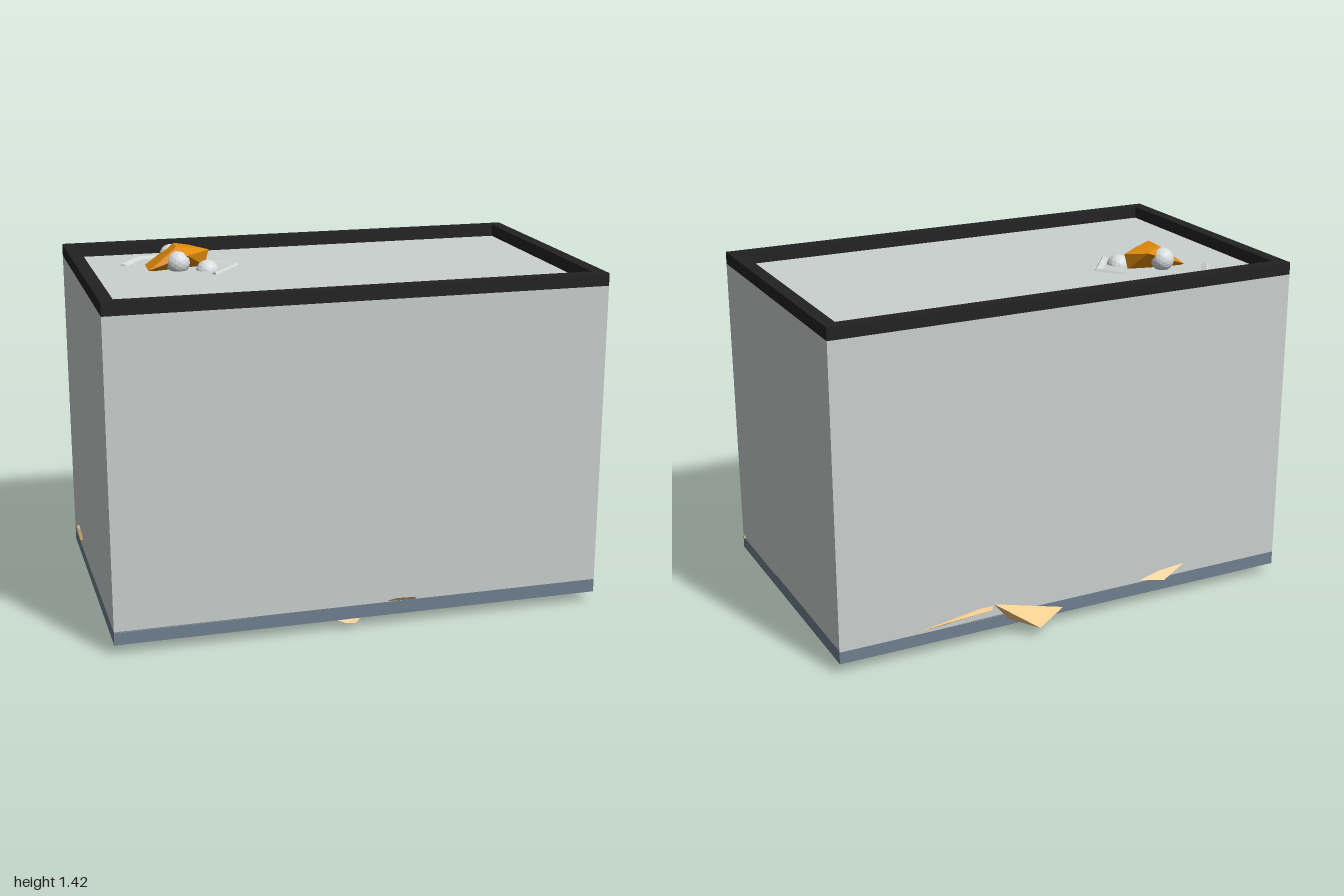
import * as THREE from 'three';
import { ConvexGeometry } from 'three/addons/geometries/ConvexGeometry.js';

const W = 1.98, D = 1.175, ZC = 0.0225;
const mat = (color) => new THREE.MeshStandardMaterial({ color, flatShading: true });
const glass = mat(0xcbd1cf), slate = mat(0x708090), black = mat(0x222222);
const orange = mat(0xe08a0c), sand = mat(0xf4c888), pearl = mat(0xd8dde0);
const foam = mat(0xd3d9d7), green = mat(0x2e6b3a);

export function createModel() {
  const group = new THREE.Group();
  const add = (name, geometry, material, x = 0, y = 0, z = 0) => {
    const mesh = new THREE.Mesh(geometry, material);
    mesh.name = name;
    mesh.position.set(x, y, z);
    group.add(mesh);
    return mesh;
  };
  // Faceted solid around a few corner points
  const shard = (name, material, points) =>
    add(name, new ConvexGeometry(points.map((p) => new THREE.Vector3(...p))), material);

  // Tank and base
  add('tankBody', new THREE.BoxGeometry(W, 1.235, D), glass, 0, 0.7125, ZC);
  add('base', new THREE.BoxGeometry(W, 0.055, D), slate, 0, 0.0725, ZC);

  // Open rim around the recessed top
  const rectangle = (Type, w, d) => {
    const r = new Type();
    r.moveTo(-w / 2, -d / 2).lineTo(w / 2, -d / 2).lineTo(w / 2, d / 2).lineTo(-w / 2, d / 2).closePath();
    return r;
  };
  const outline = rectangle(THREE.Shape, W, D);
  outline.holes.push(rectangle(THREE.Path, W - 0.104, D - 0.104));
  const rim = new THREE.ExtrudeGeometry(outline, { depth: 0.05, bevelEnabled: false });
  rim.rotateX(-Math.PI / 2);
  add('topRim', rim, black, 0, 1.33, ZC);

  // Fish breaking the surface, with eyes and a bubble
  shard('fishBody', orange, [
    [-0.69, 1.335, -0.25], [-0.695, 1.335, -0.125], [-0.64, 1.37, -0.13], [-0.63, 1.375, -0.25],
    [-0.575, 1.423, -0.15], [-0.57, 1.423, -0.24], [-0.50, 1.405, -0.275], [-0.43, 1.395, -0.205],
    [-0.535, 1.39, -0.115], [-0.45, 1.33, -0.2], [-0.55, 1.30, -0.2],
  ]);
  for (const [name, x, y, z] of [
    ['eye', -0.58, 1.368, -0.255], ['eye', -0.57, 1.36, -0.14], ['bubble', -0.455, 1.322, -0.115],
  ]) add(name, new THREE.IcosahedronGeometry(0.048, 2), pearl, x, y, z);

  // Low ripple ridges on the water
  const ripples = [
    [[-0.79, -0.28], [-0.70, -0.425], [-0.57, -0.435], [-0.49, -0.455], [-0.42, -0.43]],
    [[-0.44, 0.0], [-0.31, -0.17], [-0.38, -0.27]],
  ];
  for (const path of ripples) {
    for (let i = 0; i < path.length - 1; i++) {
      const [a, b] = [path[i], path[i + 1]];
      const toward = ([x, z], k) => [x + (-0.56 - x) * k, z + (-0.2 - z) * k];
      const [ai, bi] = [toward(a, 0.16), toward(b, 0.16)];
      const [ar, br] = [toward(a, 0.04), toward(b, 0.04)];
      shard('ripple', foam, [
        [a[0], 1.328, a[1]], [b[0], 1.328, b[1]], [ai[0], 1.328, ai[1]],
        [bi[0], 1.328, bi[1]], [ar[0], 1.339, ar[1]], [br[0], 1.339, br[1]],
      ]);
    }
  }

  // Sand chips poking through the back
  shard('sandChipBack', sand, [
    [0.35, 0.158, -0.56], [0.17, 0.04, -0.637], [0.02, 0.07, -0.56], [0.3, 0.08, -0.55],
  ]);
  shard('sandSliverBack', sand, [
    [0.34, 0.155, -0.56], [0.74, 0.095, -0.56], [0.55, 0.12, -0.576], [0.35, 0.13, -0.572], [0.5, 0.12, -0.55],
  ]);
  shard('sandChipBackRight', sand, [
    [-0.31, 0.11, -0.56], [-0.56, 0.15, -0.56], [-0.43, 0.1, -0.593], [-0.42, 0.145, -0.555], [-0.4, 0.1, -0.55],
  ]);
  // Right side and front chips
  shard('sandChipRight', sand, [
    [-0.98, 0.13, -0.29], [-1.0, 0.135, -0.31], [-1.0, 0.155, -0.42], [-0.98, 0.13, -0.43],
    [-0.98, 0.165, -0.43], [-0.98, 0.16, -0.3],
  ]);
  shard('sandChipFront', sand, [
    [0.08, 0.095, 0.6], [0.13, 0.122, 0.632], [0.21, 0.118, 0.63], [0.22, 0.095, 0.605], [0.15, 0.092, 0.6],
  ]);
  shard('sandChipFrontBottom', sand, [
    [-0.12, 0.048, 0.6], [-0.07, 0.03, 0.612], [-0.03, 0.026, 0.612], [0.0, 0.048, 0.6], [-0.05, 0.048, 0.55],
  ]);
  // Small chips under the base
  for (const [x, y, z, rx, rz] of [
    [-0.755, 0.024, -0.185, 0.015, 0.06], [-0.335, 0.035, -0.46, 0.02, 0.02], [0.17, 0.035, 0.58, 0.03, 0.02],
  ]) {
    shard('sandChipUnder', sand, [
      [x - rx, 0.05, z + rz], [x + rx, 0.05, z + rz], [x - rx, 0.05, z - rz], [x + rx, y, z - rz * 0.6],
    ]);
  }
  // Plant tip below the base and a bit on the left side
  const tip = add('plantTip', new THREE.ConeGeometry(0.012, 0.05, 4), green, 0.83, 0.026, -0.455);
  tip.rotation.x = Math.PI;
  shard('sandChipLeft', sand, [
    [0.98, 0.09, 0.57], [0.998, 0.1, 0.585], [0.98, 0.125, 0.585], [0.98, 0.09, 0.6],
  ]);
  return group;
}
